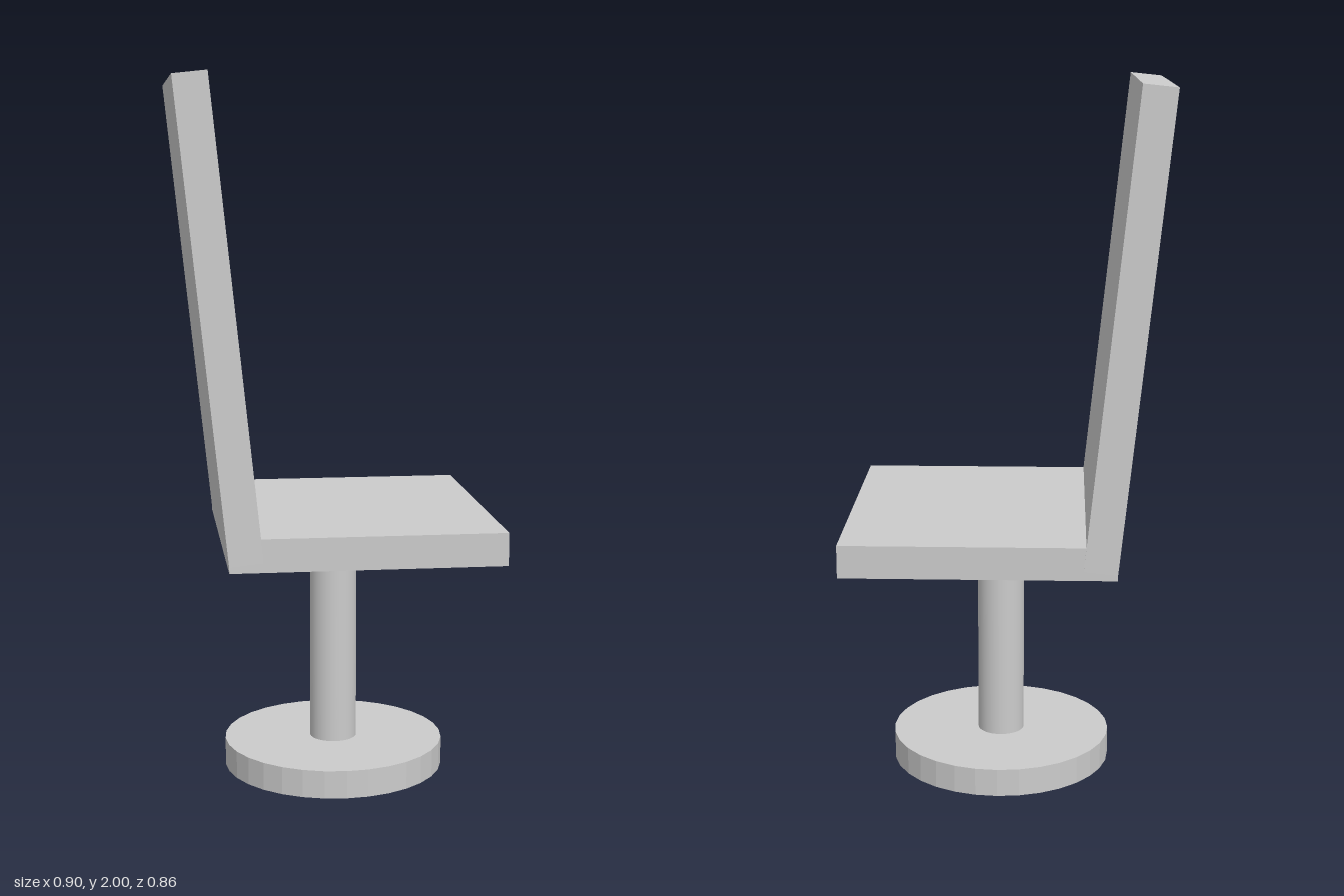
import * as THREE from 'three';

export function createModel() {
  const group = new THREE.Group();
  const smooth = new THREE.MeshStandardMaterial({ color: 0xcccccc });
  const flat = new THREE.MeshStandardMaterial({ color: 0xcccccc, flatShading: true });

  const add = (name, geometry, material, x, y) => {
    const mesh = new THREE.Mesh(geometry, material);
    mesh.name = name;
    mesh.position.set(x, y, 0);
    group.add(mesh);
    return mesh;
  };

  // Pedestal: round foot and column
  const axisX = 0.018;
  add('base', new THREE.CylinderGeometry(0.32, 0.32, 0.08, 32), flat, axisX, 0.04);
  add('column', new THREE.CylinderGeometry(0.068, 0.068, 0.61, 32), smooth, axisX, 0.38);

  // Seat slab, open side towards +x
  add('seat', new THREE.BoxGeometry(0.76, 0.092, 0.854), flat, 0.067, 0.729);

  // Tall backrest, leaning back towards -x
  const back = add('backrest', new THREE.BoxGeometry(0.093, 1.297, 0.86), flat, -0.335, 1.35);
  back.rotation.z = THREE.MathUtils.degToRad(6);

  return group;
}
